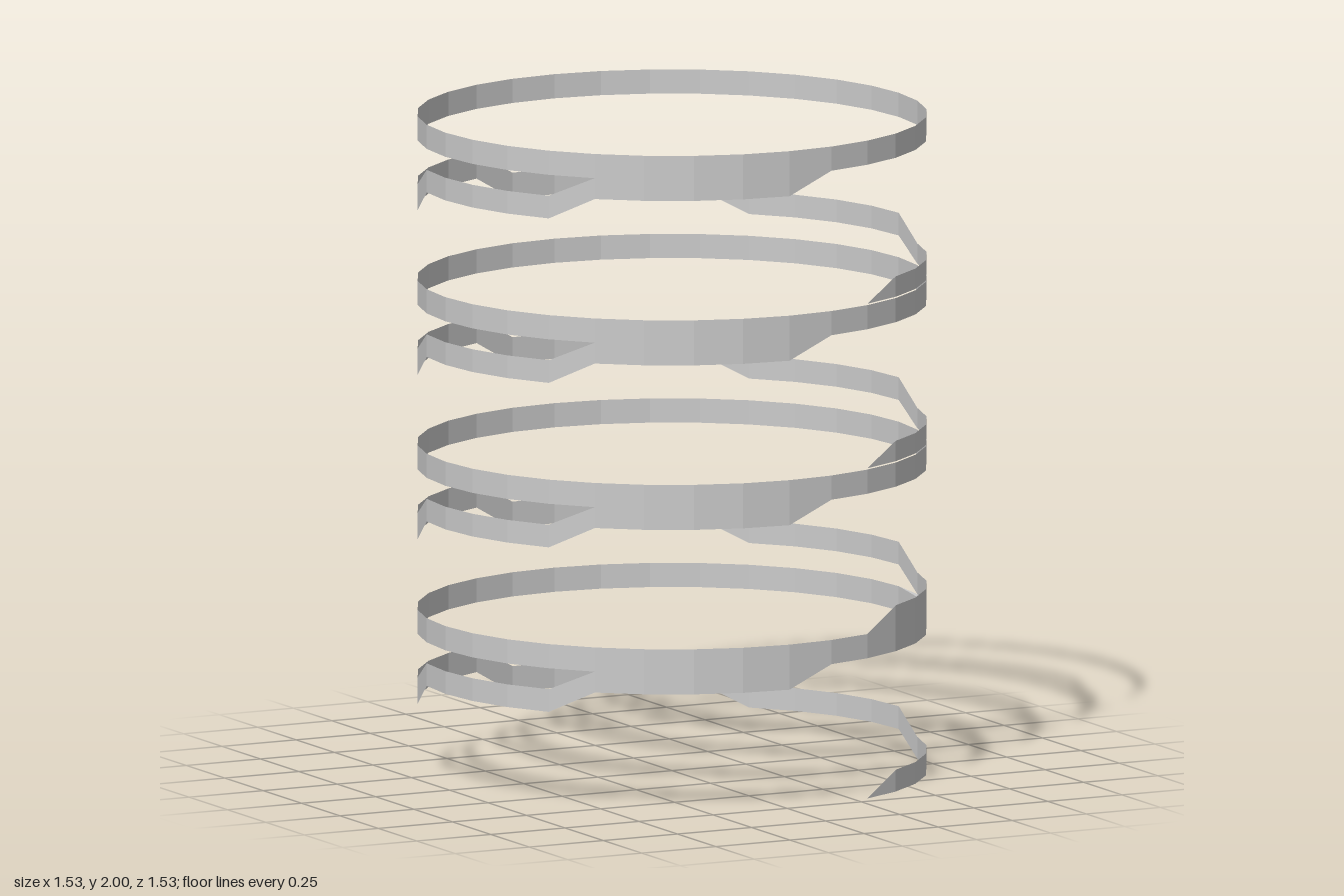
import * as THREE from 'three';

const R = 0.765;
const SIDES = 32;
const material = new THREE.MeshStandardMaterial({ color: 0xcccccc, flatShading: true, side: THREE.DoubleSide });

// Point on the cylinder at facet corner k, height y
function onWall(k, y) {
  const a = (k / SIDES) * Math.PI * 2;
  return [R * Math.cos(a), y, R * Math.sin(a)];
}

function meshFrom(triangles, name) {
  const geometry = new THREE.BufferGeometry();
  geometry.setAttribute('position', new THREE.Float32BufferAttribute(triangles.flat(2), 3));
  geometry.computeVertexNormals();
  const mesh = new THREE.Mesh(geometry, material);
  mesh.name = name;
  return mesh;
}

// Vertical ribbon through columns [k, bottom, top], skipping zero-height edges
function ribbon(columns, name) {
  const triangles = [];
  for (let i = 0; i + 1 < columns.length; i++) {
    const [k0, b0, t0] = columns[i];
    const [k1, b1, t1] = columns[i + 1];
    if (t1 > b1) triangles.push([onWall(k0, b0), onWall(k1, b1), onWall(k1, t1)]);
    if (t0 > b0) triangles.push([onWall(k0, b0), onWall(k1, t1), onWall(k0, t0)]);
  }
  return meshFrom(triangles, name);
}

// Height levels of the stepped ramp, and the facet corners [first, last] of each flat run
const LEVELS = [0, 0.066, 0.135, 0.2145, 0.294, 0.363, 0.4265];
const RUNS = [[5, 1], [0, -4], [-5, -9], [-10, -14], [-15, -19], [-20, -24]];

function rampColumns(base, gap) {
  const columns = [[6, base + gap, base + gap]]; // pointed lower end
  RUNS.forEach(([first, last], i) => {
    for (let k = first; k >= last; k--) {
      columns.push([k, base + LEVELS[i] + (i === 0 ? gap : 0), base + LEVELS[i + 1]]);
    }
  });
  columns.push([-25, base + LEVELS[6], base + LEVELS[6]]); // merges into the ring
  return columns;
}

function ringColumns(bottom, top) {
  return Array.from({ length: SIDES + 1 }, (_, i) => [-i, bottom, top]);
}

export function createModel() {
  const model = new THREE.Group();
  model.name = 'steppedCoil';
  for (let turn = 0; turn < 4; turn++) {
    const base = turn * 0.5;
    const group = new THREE.Group();
    group.name = 'turn' + (turn + 1);
    group.add(ribbon(rampColumns(base, turn > 1 ? 0.004 : 0), 'steppedRamp'));
    group.add(ribbon(ringColumns(base + LEVELS[6], base + 0.5), 'ring'));
    model.add(group);
  }
  // Sliver of a cap where the second ramp leaves the first ring
  model.add(meshFrom([[onWall(0, 0.5), onWall(2, 0.5), onWall(1, 0.5)]], 'joinSliver'));
  return model;
}
